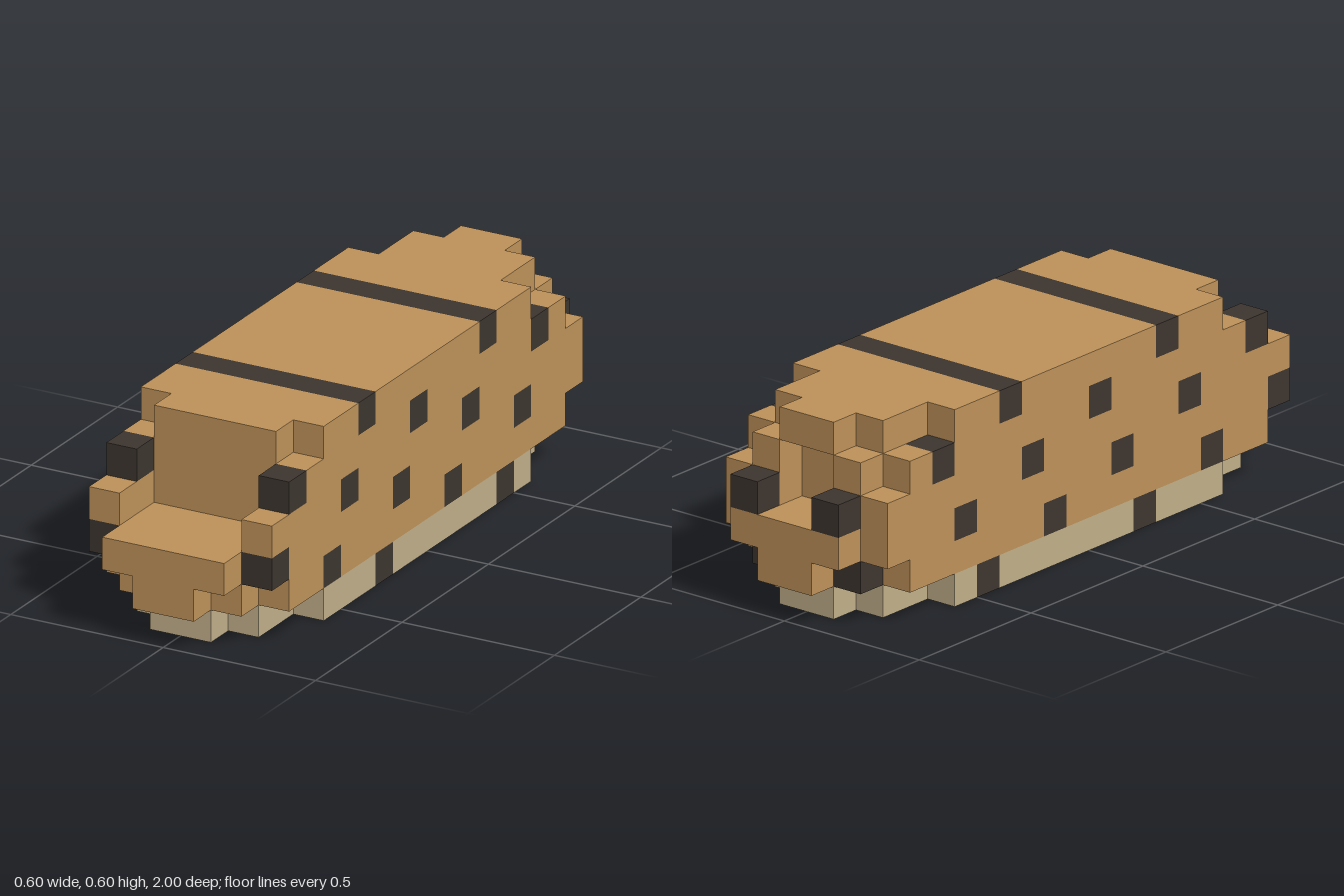
import * as THREE from 'three';
import { mergeGeometries } from 'three/addons/utils/BufferGeometryUtils.js';

const CELL = 0.1;

// Start and end cell along the length, per layer from the bottom up,
// for the inner, middle and outer columns of each mirrored half.
const SPANS = [
  [[1, 19], [2, 18], [4, 16]],
  [[0, 20], [1, 19], [2, 18]],
  [[0, 20], [0, 20], [1, 19]],
  [[2, 17], [0, 17], [1, 19]],
  [[2, 17], [1, 17], [2, 18]],
  [[1, 17], [2, 17], [4, 16]],
];

// Six face directions with the rotation that turns a +z plane towards each
const FACES = [
  [1, 0, 0, 0, Math.PI / 2], [-1, 0, 0, 0, -Math.PI / 2],
  [0, 1, 0, -Math.PI / 2, 0], [0, -1, 0, Math.PI / 2, 0],
  [0, 0, 1, 0, 0], [0, 0, -1, 0, Math.PI],
];

const columnOf = (x) => (x >= 3 ? x - 3 : 2 - x);

function filled(x, y, z) {
  if (x < 0 || x > 5 || y < 0 || y > 5) return false;
  const [start, end] = SPANS[y][columnOf(x)];
  return z >= start && z < end;
}

// Dark cells repeat every seven along the length and shift by three per layer
function isSpot(x, y, z) {
  const snoutTop = y === 2 && z > 16 && columnOf(x) < 2;
  return !snoutTop && (z - 3 * y + 16) % 7 === 0;
}

function cellFace(x, y, z, [dx, dy, dz, rx, ry]) {
  const face = new THREE.PlaneGeometry(CELL, CELL);
  face.rotateX(rx);
  face.rotateY(ry);
  face.translate(
    (x - 2.5 + dx / 2) * CELL,
    (y + 0.5 + dy / 2) * CELL,
    (z - 9.5 + dz / 2) * CELL,
  );
  return face;
}

export function createModel() {
  const materials = {
    Fur: new THREE.MeshStandardMaterial({ color: 0xbd9159 }),
    Belly: new THREE.MeshStandardMaterial({ color: 0xc0ae89 }),
    Spots: new THREE.MeshStandardMaterial({ color: 0x3d352f }),
  };
  materials.Fur.name = 'tan fur';
  materials.Belly.name = 'pale belly';
  materials.Spots.name = 'dark spots';

  // Gather the exposed cell faces by section and colour
  const parts = {};
  for (let x = 0; x < 6; x++) {
    for (let y = 0; y < 6; y++) {
      for (let z = 0; z < 20; z++) {
        if (!filled(x, y, z)) continue;
        const section = z >= 16 ? 'front' : z < 4 ? 'rear' : 'trunk';
        const kind = isSpot(x, y, z) ? 'Spots' : y === 0 ? 'Belly' : 'Fur';
        for (const dir of FACES) {
          if (filled(x + dir[0], y + dir[1], z + dir[2])) continue;
          parts[section] ??= {};
          (parts[section][kind] ??= []).push(cellFace(x, y, z, dir));
        }
      }
    }
  }

  // One group per section, one mesh per colour
  const model = new THREE.Group();
  model.name = 'spottedBody';
  for (const [section, kinds] of Object.entries(parts)) {
    const group = new THREE.Group();
    group.name = section;
    for (const [kind, faces] of Object.entries(kinds)) {
      const mesh = new THREE.Mesh(mergeGeometries(faces), materials[kind]);
      mesh.name = section + kind;
      group.add(mesh);
    }
    model.add(group);
  }
  return model;
}
